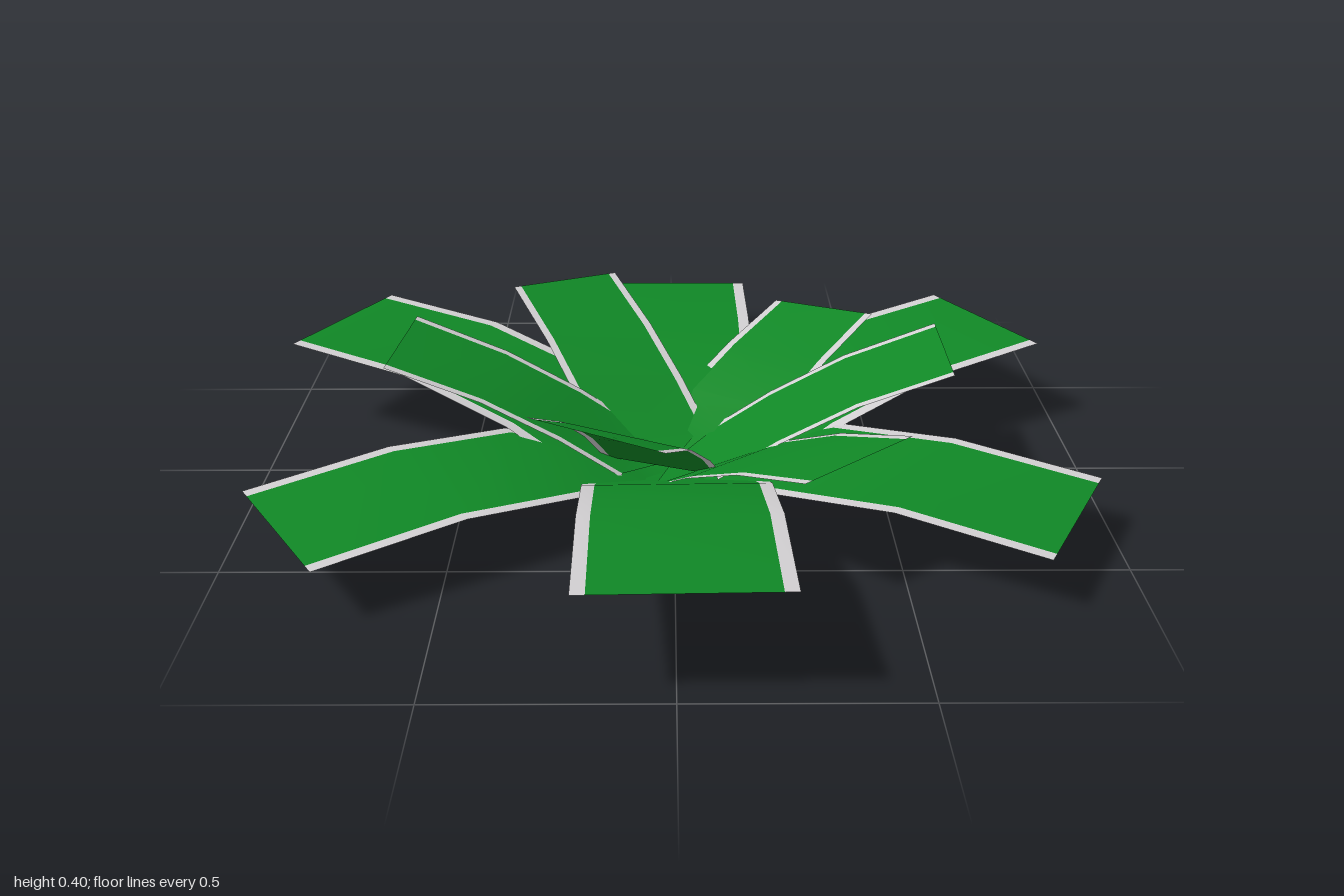
import * as THREE from 'three';

const green = new THREE.MeshStandardMaterial({ color: 0x108826, side: THREE.DoubleSide });
green.name = 'leafGreen';
const pale = new THREE.MeshStandardMaterial({ color: 0xd2d0d2, side: THREE.DoubleSide });
pale.name = 'paleEdge';

// Leaf profiles: [distance from the centre, height as a share of the tip height]
const rising = [[0.1, 0.09], [0.35, 0.57], [0.65, 0.91], [1, 1]];
const drooping = [[0.1, 0.14], [0.35, 0.94], [0.65, 1.16], [1, 1]];
const inner = [[0.16, 0.15], [0.38, 0.44], [0.66, 0.74], [1, 1]];

// Outer and inner leaves: two tip corners [x, y, z] and a profile
const outerLeaves = [
  [[0.23, 0.24, 0.99], [-0.2, 0.24, 1.0], rising],
  [[0.975, 0.125, 0.3], [0.78, 0.125, 0.675], drooping],
  [[0.74, 0.205, -0.69], [0.955, 0.205, -0.32], rising],
  [[-0.215, 0.13, -1.0], [0.215, 0.13, -1.0], drooping],
  [[-0.98, 0.228, -0.27], [-0.785, 0.222, -0.65], rising],
  [[-0.745, 0.125, 0.715], [-0.97, 0.125, 0.355], drooping],
];
const innerLeaves = [
  [[0.645, 0.338, -0.125], [0.645, 0.328, 0.18], inner],
  [[0.51, 0.305, 0.455], [0.265, 0.285, 0.64], inner],
  [[-0.02, 0.365, 0.66], [-0.31, 0.4, 0.56], inner],
  [[-0.685, 0.305, 0.075], [-0.645, 0.325, -0.215], inner],
  [[-0.43, 0.285, -0.54], [-0.16, 0.28, -0.67], inner],
  [[0.29, 0.21, -0.635], [0.535, 0.235, -0.46], inner],
];

// Strip between two rails of points, with an optional pointed base
function strip(railA, railB, apex) {
  const pos = [], index = [];
  railA.forEach((a, i) => pos.push(...a.toArray(), ...railB[i].toArray()));
  for (let i = 0; i < railA.length - 1; i++) {
    const k = i * 2;
    index.push(k, k + 1, k + 2, k + 1, k + 3, k + 2);
  }
  if (apex) {
    index.push(pos.length / 3, 1, 0);
    pos.push(...apex.toArray());
  }
  const geo = new THREE.BufferGeometry();
  geo.setAttribute('position', new THREE.Float32BufferAttribute(pos, 3));
  // Faces point upwards
  for (let i = 0; i < index.length; i += 3) {
    const [a, b, c] = [0, 1, 2].map((j) => new THREE.Vector3().fromArray(pos, index[i + j] * 3));
    if (b.sub(a).cross(c.sub(a)).y < 0) [index[i + 1], index[i + 2]] = [index[i + 2], index[i + 1]];
  }
  geo.setIndex(index);
  geo.computeVertexNormals();
  return geo;
}

function leaf(name, [cornerA, cornerB, profile], border, apexY) {
  const a = new THREE.Vector3(...cornerA), b = new THREE.Vector3(...cornerB);
  const tip = a.clone().add(b).multiplyScalar(0.5);
  const half = a.clone().sub(b).multiplyScalar(0.5);
  const inset = 1 - border / half.length();
  // One rail along the leaf at a sideways offset; the roll grows towards the tip
  const rail = (side) => profile.map(([r, h]) => new THREE.Vector3(
    tip.x * r + half.x * side, tip.y * h + half.y * side * r, tip.z * r + half.z * side));
  const group = new THREE.Group();
  group.name = name;
  const add = (part, geo, mat) => {
    const mesh = new THREE.Mesh(geo, mat);
    mesh.name = part;
    group.add(mesh);
  };
  add('blade', strip(rail(inset), rail(-inset), new THREE.Vector3(0, apexY, 0)), green);
  add('edgeA', strip(rail(1), rail(inset)), pale);
  add('edgeB', strip(rail(-inset), rail(-1)), pale);
  return group;
}

export function createModel() {
  const plant = new THREE.Group();
  plant.name = 'leafRosette';
  outerLeaves.forEach((l, i) => plant.add(leaf(`outerLeaf${i + 1}`, l, 0.03, 0)));
  innerLeaves.forEach((l, i) => plant.add(leaf(`innerLeaf${i + 1}`, l, 0.02, 0.025)));
  return plant;
}
